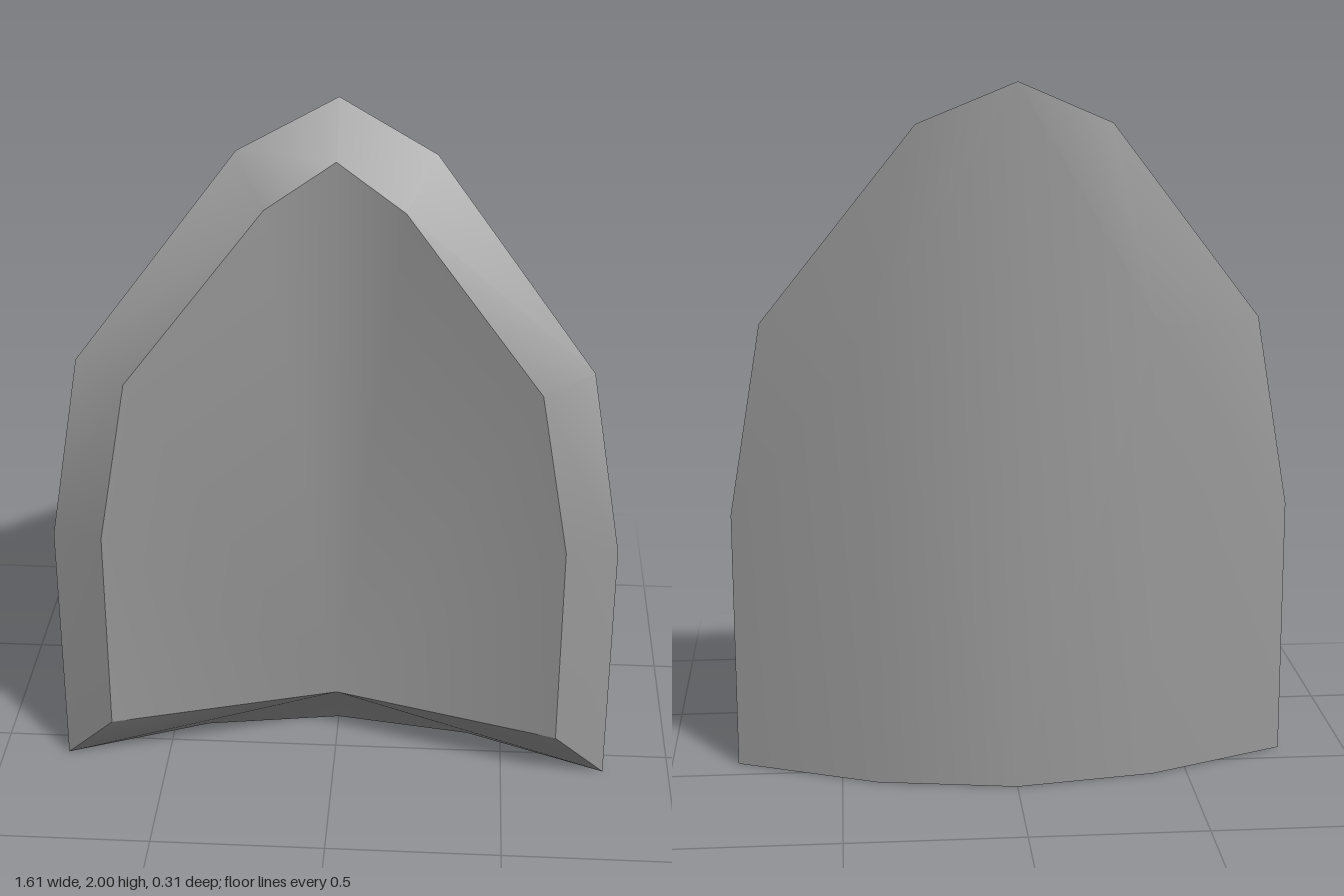
import * as THREE from 'three';

// Outlines of the right-hand half, from the crown down to the bottom corner
const outer = [[0, 2, -0.155], [0.27, 1.88, -0.05], [0.71, 1.315, 0.083], [0.805, 0.76, 0.083], [0.805, 0, 0.083]];
const inner = [[0, 1.86, -0.03], [0.19, 1.745, 0.037], [0.57, 1.275, 0.153], [0.655, 0.79, 0.155], [0.655, 0.165, 0.155]];
const innerFoot = [0, 0.165, -0.045];
const backFoot = [0, 0, -0.155];
const backFootMid = [0.4, 0, -0.09];
const backMid = [0.4, 1.33, -0.09];

// Smooth surface from half a set of polygons (as fans), mirrored across x = 0
function mirroredPatch(polygons) {
  const positions = [], index = [], seen = new Map();
  const vertex = (x, y, z) => {
    const key = `${x},${y},${z}`;
    if (!seen.has(key)) {
      seen.set(key, positions.length / 3);
      positions.push(x, y, z);
    }
    return seen.get(key);
  };
  for (const polygon of polygons) {
    const right = polygon.map(([x, y, z]) => vertex(x, y, z));
    const left = polygon.map(([x, y, z]) => vertex(x === 0 ? 0 : -x, y, z));
    for (let i = 1; i < polygon.length - 1; i++) {
      index.push(right[0], right[i], right[i + 1], left[0], left[i + 1], left[i]);
    }
  }
  const geometry = new THREE.BufferGeometry();
  geometry.setAttribute('position', new THREE.Float32BufferAttribute(positions, 3));
  geometry.setIndex(index);
  geometry.computeVertexNormals();
  return geometry;
}

export function createModel() {
  const group = new THREE.Group();
  group.name = 'curvedPlate';
  const grey = new THREE.MeshStandardMaterial({ color: 0x999999 });
  grey.name = 'plain grey';

  const add = (name, polygons) => {
    const mesh = new THREE.Mesh(mirroredPatch(polygons), grey);
    mesh.name = name;
    group.add(mesh);
  };

  // Raised front face, folded along its middle
  add('frontFace', [[innerFoot, ...[...inner].reverse()]]);

  // Bevel around the sides and crown
  add('bevel', outer.slice(1).map((p, i) => [inner[i], inner[i + 1], p, outer[i]]));

  // Sloping bottom edge
  add('bottomEdge', [[innerFoot, backFoot, backFootMid, outer[4], inner[4]]]);

  // Bowed back
  add('backFace', [
    [backMid, backFootMid, backFoot, outer[0]],
    [backMid, outer[0], outer[1]],
    [backMid, outer[1], outer[2]],
    [backMid, outer[2], outer[3], outer[4], backFootMid],
  ]);
  return group;
}
